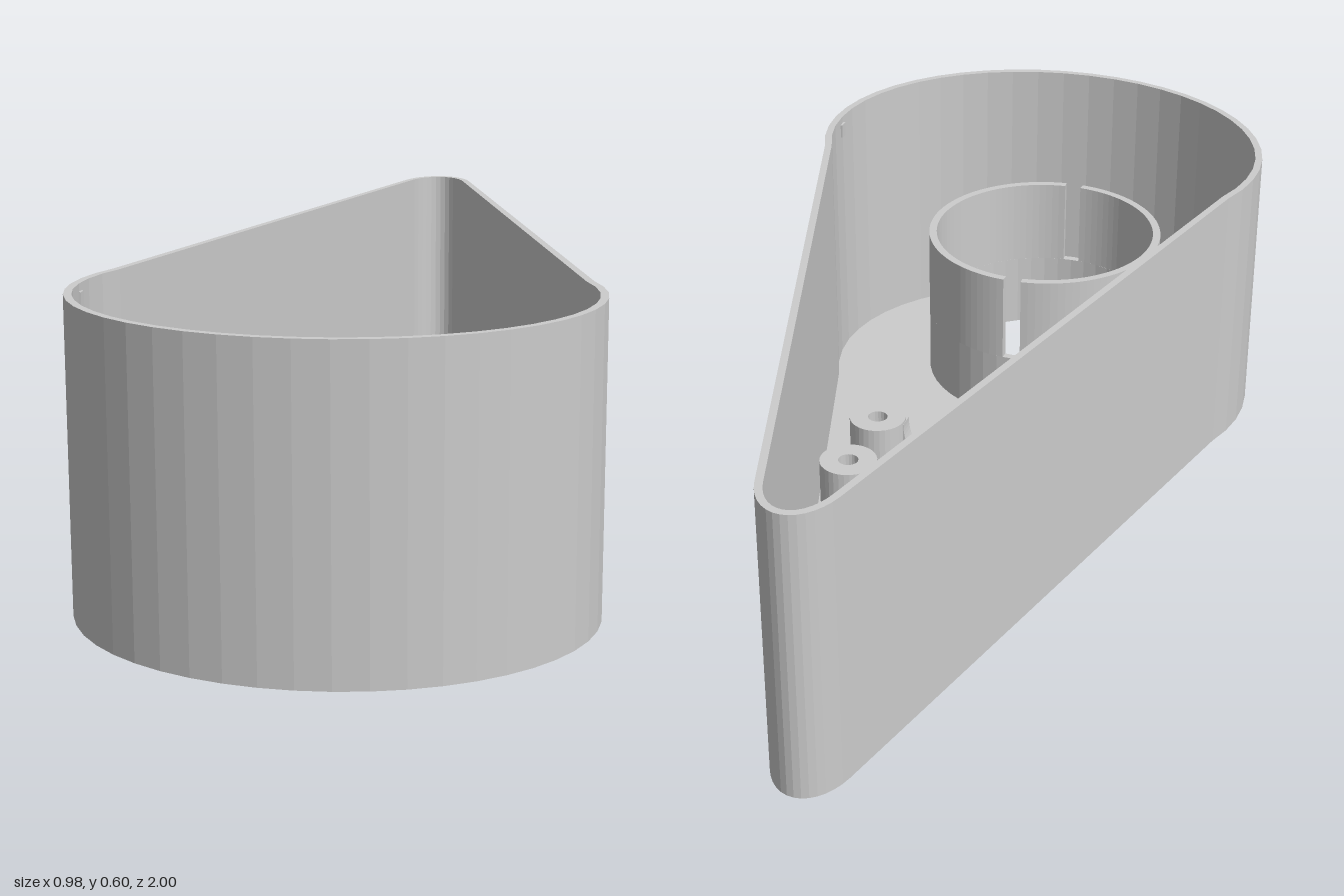
import * as THREE from 'three';

const H = 0.6, WALL = 0.015, FLOOR = 0.02;
const RING = { z: 0.61, inner: 0.248, outer: 0.265, top: 0.365, slotBottom: 0.17 };

// Teardrop in plan, offset inwards by d, counter-clockwise
function teardrop(d) {
  const pts = [];
  const arc = (cz, rx, rz, a0, a1, n) => {
    for (let i = 0; i <= n; i++) {
      const a = a0 + (a1 - a0) * i / n;
      pts.push(new THREE.Vector2(Math.cos(a) * (rx - d), -cz - Math.sin(a) * (rz - d)));
    }
  };
  arc(0.57, 0.49, 0.43, -0.38, Math.PI + 0.38, 30);                // round end
  arc(-0.86, 0.085, 0.14, Math.PI + 0.44, 2 * Math.PI - 0.44, 14); // narrow tip
  return pts.reverse();
}

function circlePath(x, z, r, n = 48) {
  const pts = [];
  for (let i = 0; i < n; i++) {
    const a = i / n * Math.PI * 2;
    pts.push(new THREE.Vector2(x + Math.cos(a) * r, -z + Math.sin(a) * r));
  }
  return new THREE.Path(pts);
}

// Extrude a plan shape upwards from y0 to y1
function rise(shape, y0, y1) {
  const g = new THREE.ExtrudeGeometry(shape, { depth: y1 - y0, bevelEnabled: false, curveSegments: 24 });
  return g.rotateX(-Math.PI / 2).translate(0, y0, 0);
}

export function createModel() {
  const model = new THREE.Group();
  model.name = 'teardropHousing';
  const grey = new THREE.MeshStandardMaterial({ color: 0xcccccc });
  grey.name = 'grey plastic';
  const add = (name, geometry) => {
    const mesh = new THREE.Mesh(geometry, grey);
    mesh.name = name;
    model.add(mesh);
    return mesh;
  };

  // Floor with the round opening
  const floor = new THREE.Shape(teardrop(0));
  floor.holes.push(circlePath(0, RING.z, RING.inner));
  add('floor', rise(floor, 0, FLOOR));

  // Outer wall
  const wall = new THREE.Shape(teardrop(0));
  wall.holes.push(new THREE.Path(teardrop(WALL)));
  add('wall', rise(wall, FLOOR, H));

  // Collar: closed lower band, then two halves parted by slots
  const band = new THREE.Shape(circlePath(0, RING.z, RING.outer).getPoints());
  band.holes.push(circlePath(0, RING.z, RING.inner));
  add('collarBase', rise(band, FLOOR, RING.slotBottom));
  for (const side of [0, 1]) {
    const gap = 0.075;
    const a0 = side * Math.PI - Math.PI / 2 + gap, a1 = a0 + Math.PI - 2 * gap;
    const half = new THREE.Shape();
    half.absarc(0, -RING.z, RING.outer, a0, a1, false);
    half.absarc(0, -RING.z, RING.inner, a1, a0, true);
    add(side ? 'collarRight' : 'collarLeft', rise(half, RING.slotBottom, RING.top));
  }

  // Screw posts with blind bores
  for (const z of [0.004, -0.178]) for (const x of [-0.195, 0.195]) {
    const post = new THREE.Shape(circlePath(x, z, 0.06, 32).getPoints());
    post.holes.push(circlePath(x, z, 0.021, 20));
    add('screwPost', rise(post, FLOOR, 0.178));
  }

  // Cradle ribs with a rounded hollow
  const top = 0.172, thick = 0.036;
  for (const [z, w] of [[0.014, 0.142], [-0.176, 0.142], [-0.407, 0.165]]) {
    const rib = new THREE.Shape();
    rib.moveTo(-w, FLOOR);
    rib.lineTo(w, FLOOR);
    rib.lineTo(w, top);
    rib.lineTo(0.135, top);
    rib.absarc(0, top, 0.135, 0, Math.PI, true);
    rib.lineTo(-w, top);
    const g = new THREE.ExtrudeGeometry(rib, { depth: thick, bevelEnabled: false, curveSegments: 24 });
    add('cradleRib', g.translate(0, 0, z - thick / 2));
  }

  // Small lid catches inside the rim
  for (const s of [-1, 1]) {
    add('lidCatch', new THREE.BoxGeometry(0.008, 0.03, 0.02)).position.set(s * 0.474, 0.57, 0.57);
  }
  return model;
}
